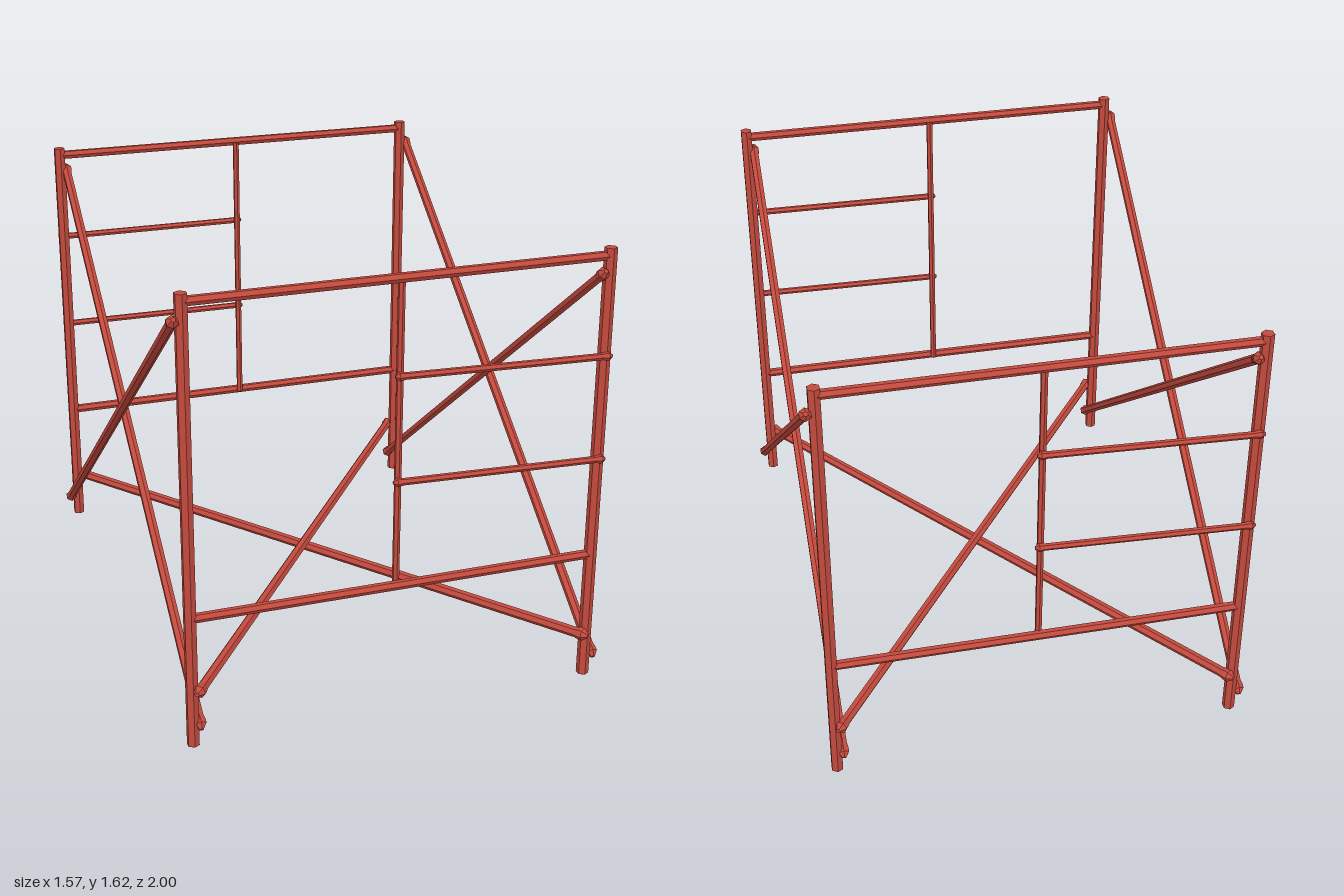
import * as THREE from 'three';

const SIDES = 6;
const V = (x, y, z) => new THREE.Vector3(x, y, z);

// Six-sided tube between two points; flared ends get a pinched, tapered tip
function bar(name, a, b, r, material, flared = false) {
  const len = a.distanceTo(b), h = len / 2;
  const half = flared
    ? [[0, h], [r * 0.45, h], [r * 1.25, h - r * 1.1], [r * 1.2, h - r * 1.9], [r, h - r * 2.8]]
    : [[0, h], [r, h]];
  const profile = [
    ...half.map(([x, y]) => new THREE.Vector2(x, -y)),
    ...half.slice().reverse().map(([x, y]) => new THREE.Vector2(x, y)),
  ];
  const geometry = new THREE.LatheGeometry(profile, SIDES).toNonIndexed();
  geometry.computeVertexNormals(); // faceted sides
  const mesh = new THREE.Mesh(geometry, material);
  mesh.name = name;
  mesh.position.copy(a).add(b).multiplyScalar(0.5);
  mesh.quaternion.setFromUnitVectors(V(0, 1, 0), b.clone().sub(a).normalize());
  return mesh;
}

export function createModel() {
  const red = new THREE.MeshStandardMaterial({ color: 0xc44a3e });
  red.name = 'red painted steel';

  const model = new THREE.Group();
  model.name = 'scaffold';

  const X = 0.735, Z = 0.955, H = 1.62;

  // One end frame with its side braces, repeated by a half turn
  for (let i = 0; i < 2; i++) {
    const half = new THREE.Group();
    half.name = i === 0 ? 'frontHalf' : 'backHalf';
    half.rotation.y = i * Math.PI;

    // Posts
    for (const s of [-1, 1]) {
      half.add(bar(s < 0 ? 'rightPost' : 'leftPost', V(s * X, 0, Z), V(s * X, H, Z), 0.0225, red));
    }

    // Cross rails and the middle upright hung between them
    half.add(bar('topRail', V(-X, 1.592, Z), V(X, 1.592, Z), 0.017, red));
    half.add(bar('lowerRail', V(-X, 0.485, Z), V(X, 0.485, Z), 0.017, red));
    half.add(bar('middleUpright', V(0, 0.48, 0.938), V(0, 1.59, 0.938), 0.0125, red));

    // Climbing rungs from the middle upright to the outside of one post
    for (const y of [0.867, 1.247]) {
      half.add(bar('rung', V(-0.022, y + 0.006, 0.953), V(0.752, y - 0.003, 0.982), 0.0125, red, true));
    }

    // Side cross braces: one outside the posts, one inside
    half.add(bar('outerSideBrace', V(0.766, 0.066, 0.972), V(0.766, 1.546, -0.985), 0.018, red, true));
    half.add(bar('innerSideBrace', V(0.71, 1.546, 0.978), V(0.71, 0.066, -0.978), 0.018, red, true));

    model.add(half);
  }

  // Level diagonals crossing the base
  model.add(bar('upperBaseDiagonal', V(-0.728, 0.216, 0.995), V(0.728, 0.216, -0.995), 0.019, red, true));
  model.add(bar('lowerBaseDiagonal', V(0.728, 0.172, 0.995), V(-0.728, 0.172, -0.995), 0.019, red, true));

  return model;
}
